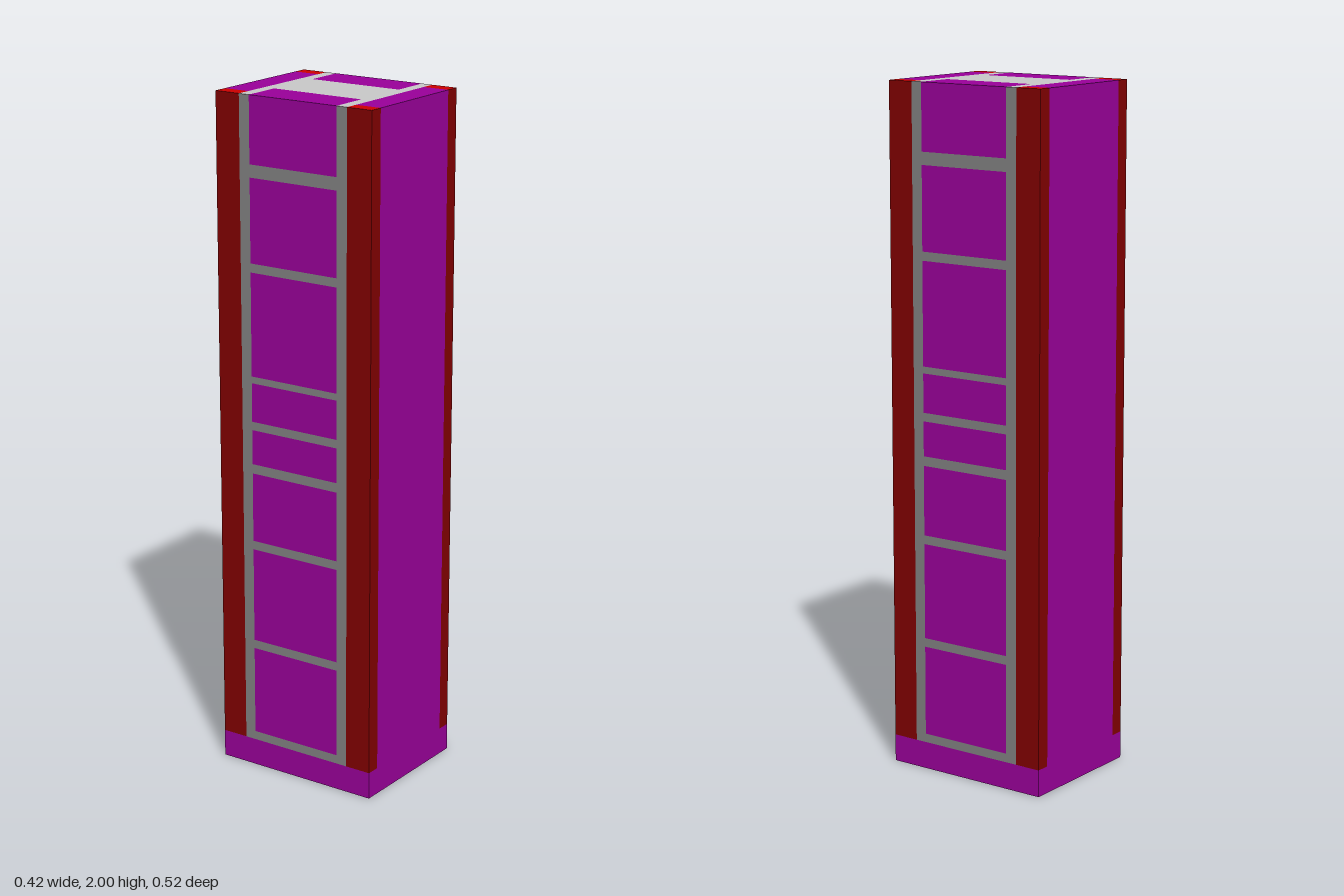
import * as THREE from 'three';

const mat = (name, color) => {
  const m = new THREE.MeshStandardMaterial({ color });
  m.name = name;
  return m;
};

export function createModel() {
  const purple = mat('purple', 0x980098);
  const red = mat('bright red', 0xcc0000);
  const darkRed = mat('dark red', 0x800000);
  const lightGrey = mat('light grey', 0xc8c8c8);
  const grey = mat('grey', 0x808080);

  const group = new THREE.Group();
  group.name = 'compositeColumn';

  // Box from min/max corners, with an optional different colour on its top face
  const block = (name, [x0, x1], [y0, y1], [z0, z1], side, top = side) => {
    const geo = new THREE.BoxGeometry(x1 - x0, y1 - y0, z1 - z0);
    const mesh = new THREE.Mesh(geo, top === side ? side : [side, side, top, side, side, side]);
    mesh.position.set((x0 + x1) / 2, (y0 + y1) / 2, (z0 + z1) / 2);
    mesh.name = name;
    group.add(mesh);
  };
  // Range mirrored about zero when s is -1
  const span = (s, a, b) => (s > 0 ? [a, b] : [-b, -a]);

  const W = 0.208, D = 0.26, H = 2, BASE = 0.08;
  const barX = 0.166, flangeOut = 0.18, flangeIn = 0.146, webX = 0.091;
  const full = [BASE, H];

  block('base', [-W, W], [0, BASE], [-D, D], purple);
  block('web', [-webX, webX], full, [-flangeIn, flangeIn], grey, lightGrey);

  // Front and back: facing panel, corner bars and steel flange
  for (const s of [1, -1]) {
    const outer = span(s, flangeOut, D);
    block('facePanel', [-barX, barX], full, outer, purple);
    for (const t of [1, -1]) block('cornerBar', span(t, barX, W), full, outer, darkRed, red);
    block('flange', [-W, W], full, span(s, flangeIn, flangeOut), grey, lightGrey);
  }

  // Sides: stiffener plates with infill between them
  const stiffeners = [
    [0.08, 0.106], [0.371, 0.397], [0.679, 0.705], [0.91, 0.938],
    [1.04, 1.065], [1.179, 1.199], [1.501, 1.527], [1.77, 1.807],
  ];
  const zIn = [-flangeIn, flangeIn];
  for (const s of [1, -1]) {
    stiffeners.forEach((y, i) => {
      const next = i + 1 < stiffeners.length ? stiffeners[i + 1][0] : H;
      block('stiffener', span(s, webX, W), y, zIn, grey);
      block('infill', span(s, webX, W), [y[1], next], zIn, purple);
    });
  }
  return group;
}
